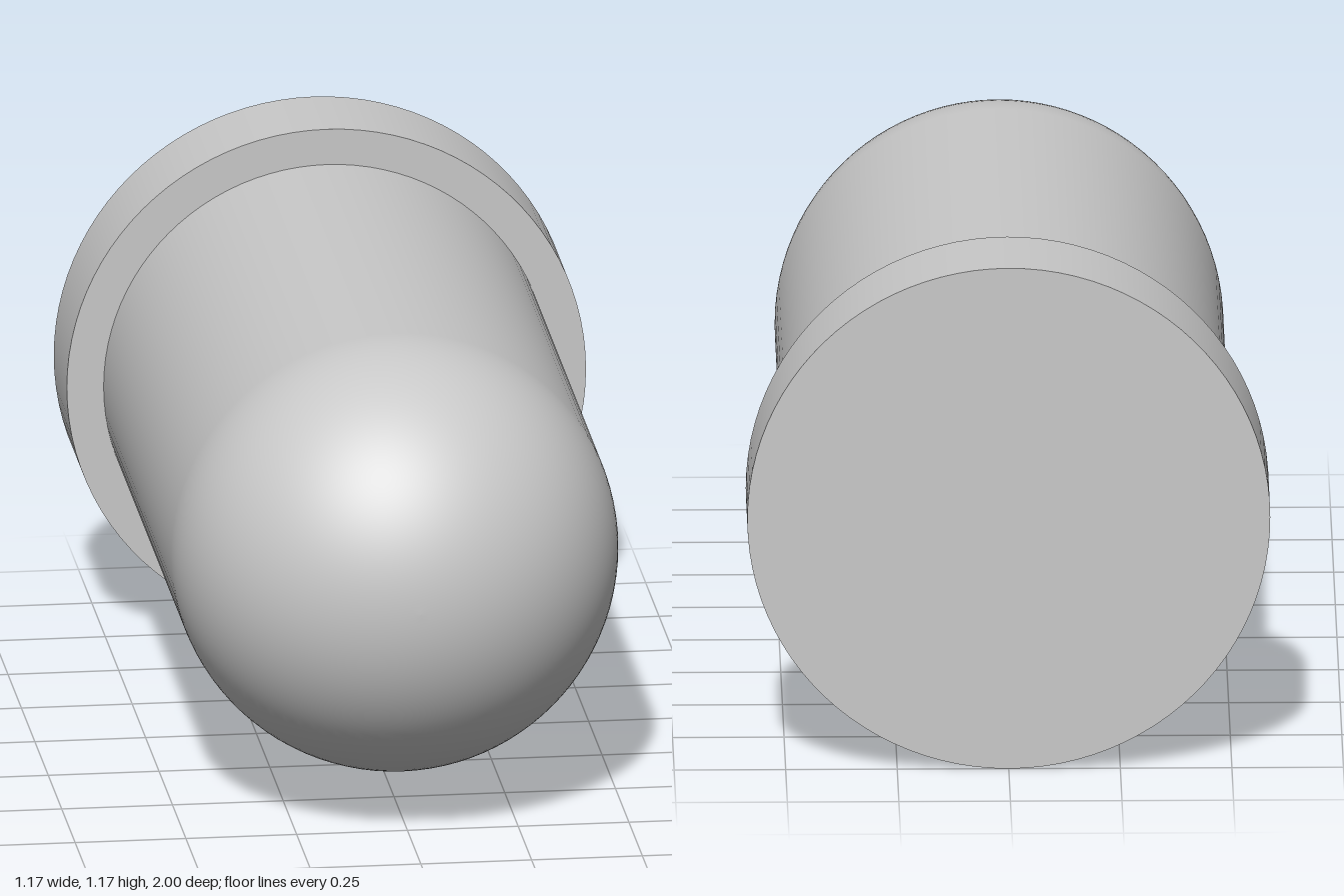
import * as THREE from 'three';

const FLANGE_R = 0.586, BODY_R = 0.503;
const BACK = -1, FLANGE_FRONT = -0.757, DOME_START = 1 - BODY_R;
const SEGMENTS = 96;

export function createModel() {
  const model = new THREE.Group();
  model.name = 'domedCapsule';
  const grey = new THREE.MeshStandardMaterial({ color: 0xc8c8c8 });
  grey.name = 'light grey';

  // Adds a part whose own axis is y, laid down so that y points to the front
  const add = (name, geometry, z) => {
    geometry.rotateX(Math.PI / 2);
    const mesh = new THREE.Mesh(geometry, grey);
    mesh.name = name;
    mesh.position.set(0, FLANGE_R, z);
    model.add(mesh);
  };

  // Wide disc at the back
  const depth = FLANGE_FRONT - BACK;
  add('baseFlange', new THREE.CylinderGeometry(FLANGE_R, FLANGE_R, depth, SEGMENTS), BACK + depth / 2);

  // Straight barrel running smoothly into a hemispherical nose
  const profile = [new THREE.Vector2(BODY_R, FLANGE_FRONT)];
  const steps = 32;
  for (let i = 0; i <= steps; i++) {
    const a = (i / steps) * Math.PI / 2;
    const r = i === steps ? 0 : BODY_R * Math.cos(a);
    profile.push(new THREE.Vector2(r, DOME_START + BODY_R * Math.sin(a)));
  }
  add('domedBody', new THREE.LatheGeometry(profile, SEGMENTS), 0);

  return model;
}
